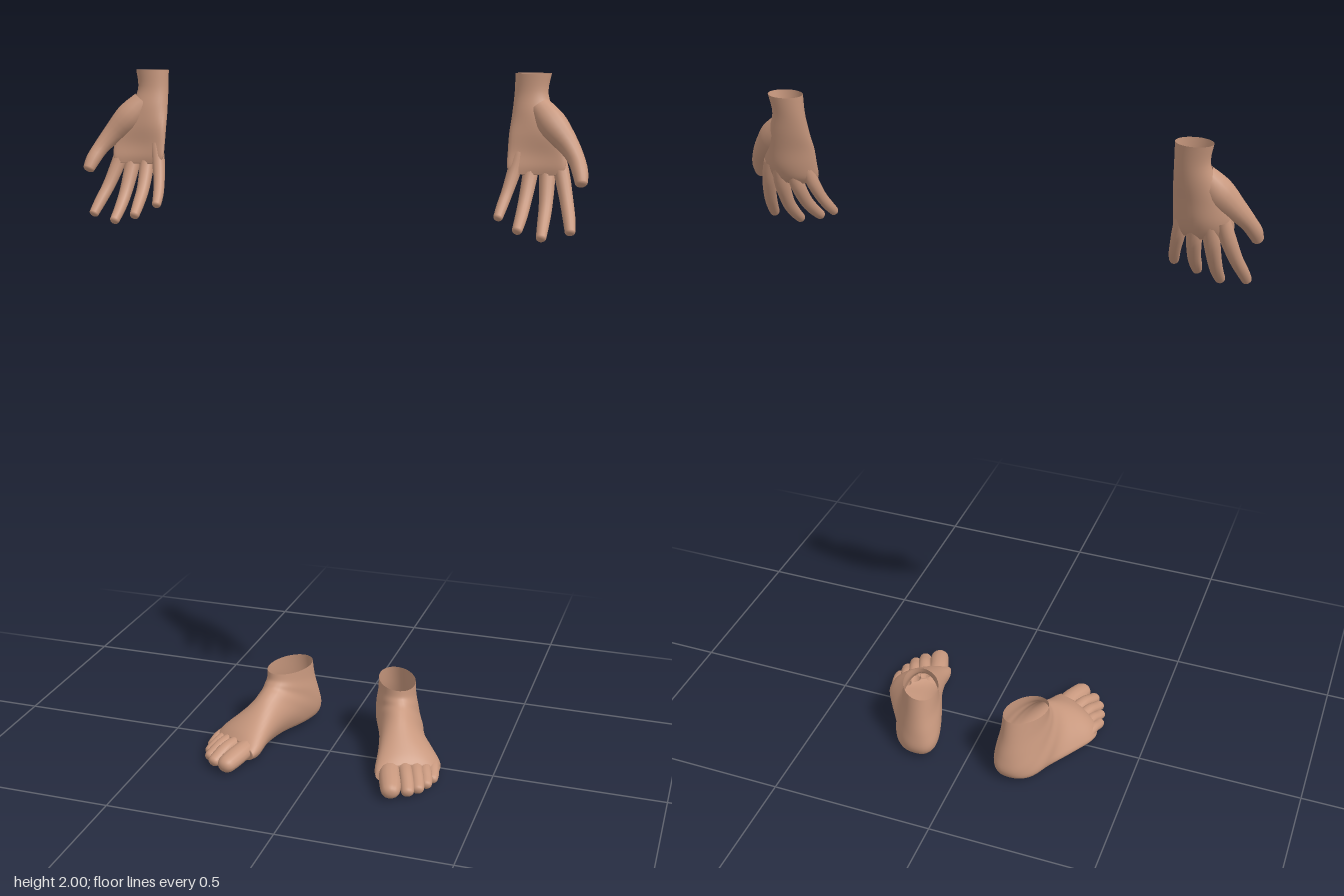
import * as THREE from 'three';

const skin = new THREE.MeshStandardMaterial({ color: 0xc8987e, side: THREE.DoubleSide });
skin.name = 'skin';

// Smooth interpolation of a table of rows, u in 0..1
function sampleRow(rows, u) {
  const f = Math.min(u, 1) * (rows.length - 1);
  const i = Math.min(Math.floor(f), rows.length - 2), t = f - i;
  const at = (k) => rows[Math.max(0, Math.min(rows.length - 1, k))];
  const [a, b, c, d] = [at(i - 1), at(i), at(i + 1), at(i + 2)];
  return b.map((p, k) => p + 0.5 * t * (c[k] - a[k] + t * (2 * a[k] - 5 * p + 4 * c[k] - d[k]
    + t * (3 * (p - c[k]) + d[k] - a[k]))));
}

// Skin a list of closed rings; the start stays open, the end closes on its middle
function loft(name, rings, side) {
  const n = rings[0].length, pos = [], idx = [];
  rings.forEach((r) => r.forEach((p) => pos.push(p.x * side, p.y, p.z)));
  const mid = new THREE.Vector3();
  rings[rings.length - 1].forEach((p) => mid.addScaledVector(p, 1 / n));
  pos.push(mid.x * side, mid.y, mid.z);
  for (let i = 0; i < rings.length; i++) {
    for (let j = 0; j < n; j++) {
      const a = i * n + j, b = i * n + (j + 1) % n;
      if (i < rings.length - 1) idx.push(a, b, a + n, b, b + n, a + n);
      else idx.push(a, b, rings.length * n);
    }
  }
  // Turn the faces outward, judged by the signed volume about the end point
  const v = (k) => new THREE.Vector3().fromArray(pos, k * 3).sub(new THREE.Vector3(mid.x * side, mid.y, mid.z));
  let volume = 0;
  for (let k = 0; k < idx.length; k += 3) volume += v(idx[k]).dot(v(idx[k + 1]).cross(v(idx[k + 2])));
  if (volume < 0) idx.reverse();
  const g = new THREE.BufferGeometry();
  g.setAttribute('position', new THREE.Float32BufferAttribute(pos, 3));
  g.setIndex(idx);
  g.computeVertexNormals();
  const mesh = new THREE.Mesh(g, skin);
  mesh.name = name;
  return mesh;
}

const steps = (n, fn) => Array.from({ length: n }, (_, i) => fn(i));

// Finger or toe: rows of [x, y, z, radius] with a rounded tip
function digit(name, rows, side, flat = 1) {
  const first = new THREE.Vector3(...rows[0]), last = new THREE.Vector3(...rows[rows.length - 1]);
  const tipStart = 1 - rows[rows.length - 1][3] * 1.1 / first.distanceTo(last);
  const N = 24;
  const rings = steps(N + 1, (i) => {
    // Rings gather towards the tip
    const k = i / N;
    const u = k < 0.65 ? tipStart * k / 0.65
      : tipStart + (1 - tipStart) * Math.sin((k - 0.65) / 0.35 * Math.PI / 2);
    const [x, y, z, r0] = sampleRow(rows, u);
    const q = Math.max(0, (u - tipStart) / (1 - tipStart));
    const r = r0 * Math.sqrt(Math.max(0.0004, 1 - q * q));
    const e = Math.min(u, 0.98);
    const a = sampleRow(rows, e), b = sampleRow(rows, e + 0.02);
    const T = new THREE.Vector3(b[0] - a[0], b[1] - a[1], b[2] - a[2]).normalize();
    const U = new THREE.Vector3(1, 0, 0).addScaledVector(T, -T.x).normalize();
    const V = T.clone().cross(U);
    return steps(14, (j) => {
      const t = j / 14 * Math.PI * 2;
      return new THREE.Vector3(x, y, z).addScaledVector(U, r * Math.cos(t)).addScaledVector(V, r * flat * Math.sin(t));
    });
  });
  return loft(name, rings, side);
}

function makeHand(side) {
  const g = new THREE.Group();
  g.name = side > 0 ? 'leftHand' : 'rightHand';
  // Wrist and palm: x, y, z, half width, half depth, cupping
  const palm = [
    [0.538, 2.0, -0.047, 0.047, 0.037, 0],
    [0.535, 1.95, -0.042, 0.044, 0.033, 0],
    [0.544, 1.9, -0.032, 0.055, 0.035, 1],
    [0.555, 1.85, -0.024, 0.069, 0.033, 3],
    [0.562, 1.8, -0.02, 0.076, 0.028, 4],
    [0.563, 1.765, -0.011, 0.076, 0.023, 4],
    [0.564, 1.745, -0.003, 0.066, 0.014, 4],
  ];
  g.add(loft('palm', steps(29, (i) => {
    const [x, y, z, w, d, cup] = sampleRow(palm, i / 28);
    return steps(32, (j) => {
      const t = j / 32 * Math.PI * 2, dx = w * Math.cos(t);
      return new THREE.Vector3(x + dx, y, z + d * Math.sin(t) + cup * dx * dx);
    });
  }), side));
  // Fingers: knuckle, two joints, tip
  const digits = {
    indexFinger: [[0.613, 1.8, -0.012, 0.02], [0.63, 1.745, 0.002, 0.02], [0.648, 1.685, 0.03, 0.0175], [0.662, 1.64, 0.063, 0.016], [0.671, 1.605, 0.092, 0.013]],
    middleFinger: [[0.583, 1.8, -0.022, 0.02], [0.59, 1.74, -0.005, 0.021], [0.595, 1.672, 0.03, 0.018], [0.597, 1.627, 0.068, 0.016], [0.599, 1.59, 0.11, 0.013]],
    ringFinger: [[0.549, 1.8, -0.02, 0.019], [0.545, 1.74, -0.003, 0.02], [0.541, 1.68, 0.033, 0.0175], [0.539, 1.64, 0.072, 0.016], [0.536, 1.607, 0.112, 0.013]],
    littleFinger: [[0.514, 1.8, -0.006, 0.018], [0.504, 1.75, 0.006, 0.018], [0.493, 1.7, 0.03, 0.0155], [0.485, 1.664, 0.057, 0.0145], [0.48, 1.635, 0.085, 0.012]],
    thumb: [[0.56, 1.915, -0.028, 0.03], [0.597, 1.872, -0.012, 0.039], [0.639, 1.828, 0.006, 0.029], [0.668, 1.79, 0.028, 0.022], [0.684, 1.756, 0.052, 0.02], [0.691, 1.726, 0.072, 0.015]],
  };
  for (const name in digits) g.add(digit(name, digits[name], side));
  return g;
}

function makeFoot(side) {
  const g = new THREE.Group();
  g.name = side > 0 ? 'leftFoot' : 'rightFoot';
  // Sections swinging from ankle round the heel to the ball:
  // instep x y z, heel or sole x y z, half width, squareness, widest height, skew
  const body = [
    [0.192, 0.206, -0.055, 0.152, 0.213, -0.207, 0.058, 1, 0.5, 0],
    [0.192, 0.187, -0.05, 0.15, 0.15, -0.222, 0.06, 1, 0.5, 0],
    [0.196, 0.176, -0.04, 0.146, 0.09, -0.236, 0.066, 0.95, 0.47, 0],
    [0.2, 0.168, -0.03, 0.147, 0.04, -0.241, 0.07, 0.85, 0.42, 0],
    [0.203, 0.16, -0.015, 0.162, 0.01, -0.218, 0.074, 0.75, 0.38, 0],
    [0.208, 0.148, 0.005, 0.19, 0.005, -0.15, 0.073, 0.65, 0.35, 0],
    [0.215, 0.128, 0.035, 0.24, 0.008, -0.06, 0.076, 0.6, 0.35, 0.1],
    [0.228, 0.104, 0.07, 0.272, 0.008, 0.02, 0.082, 0.6, 0.35, 0.25],
    [0.243, 0.08, 0.103, 0.274, 0.005, 0.08, 0.083, 0.6, 0.37, 0.45],
    [0.252, 0.06, 0.125, 0.272, 0.012, 0.113, 0.073, 0.7, 0.45, 0.6],
  ];
  g.add(loft('footBody', steps(46, (i) => {
    const [ax, ay, az, bx, by, bz, w, e, m, skew] = sampleRow(body, i / 45);
    return steps(40, (j) => {
      const t = j / 40 * Math.PI * 2, c = Math.cos(t), s = Math.sin(t);
      const p = c < 0 ? e : 1;
      const h = c > 0 ? m + (1 - m) * c : m - m * Math.pow(-c, p);
      const dx = w * Math.sign(s) * Math.pow(Math.abs(s), p);
      return new THREE.Vector3(bx + (ax - bx) * h + dx, by + (ay - by) * h, bz + (az - bz) * h - skew * dx);
    });
  }), side));
  // Toes: root, knuckle, pad, tip
  const toes = {
    bigToe: [[0.218, 0.04, 0.1, 0.032], [0.228, 0.041, 0.15, 0.031], [0.243, 0.034, 0.195, 0.031], [0.255, 0.027, 0.238, 0.025]],
    secondToe: [[0.258, 0.046, 0.1, 0.022], [0.275, 0.047, 0.145, 0.02], [0.289, 0.033, 0.182, 0.02], [0.298, 0.021, 0.212, 0.018]],
    thirdToe: [[0.284, 0.042, 0.075, 0.022], [0.3, 0.043, 0.12, 0.019], [0.313, 0.03, 0.155, 0.019], [0.321, 0.02, 0.184, 0.017]],
    fourthToe: [[0.306, 0.036, 0.05, 0.021], [0.318, 0.038, 0.09, 0.018], [0.329, 0.027, 0.12, 0.018], [0.336, 0.019, 0.148, 0.016]],
    littleToe: [[0.322, 0.031, 0.02, 0.021], [0.332, 0.033, 0.055, 0.019], [0.339, 0.025, 0.082, 0.018], [0.343, 0.018, 0.11, 0.016]],
  };
  for (const name in toes) g.add(digit(name, toes[name], side, 0.85));
  return g;
}

export function createModel() {
  const model = new THREE.Group();
  model.name = 'handsAndFeet';
  for (const side of [1, -1]) model.add(makeHand(side), makeFoot(side));
  return model;
}
